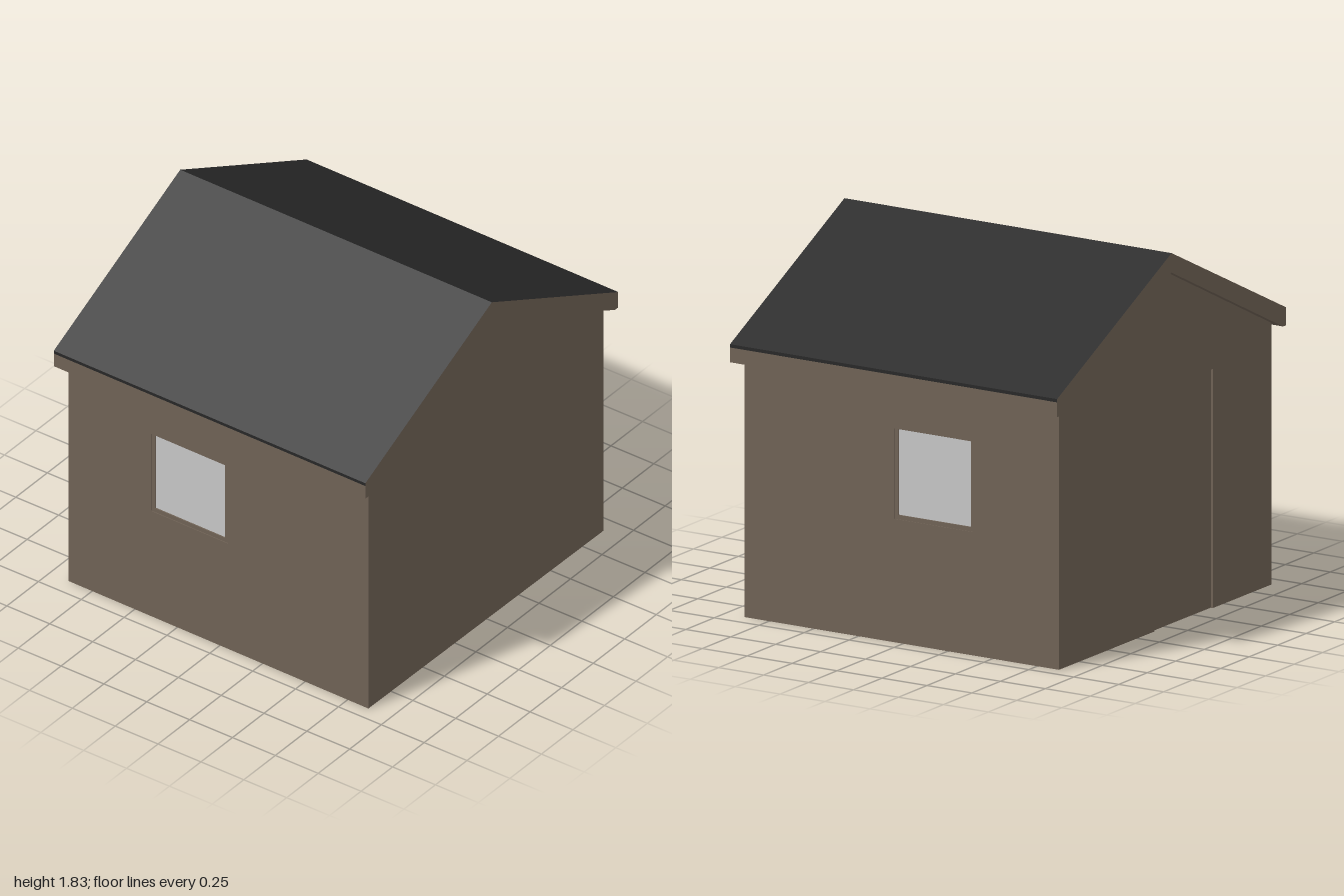
import * as THREE from 'three';

const brown = new THREE.MeshStandardMaterial({ color: 0x6f6255, name: 'brown timber' });
const black = new THREE.MeshStandardMaterial({ color: 0x272727, name: 'black roofing' });
const grey = new THREE.MeshStandardMaterial({ color: 0xc6c6c6, name: 'grey glass' });

const HW = 0.88, HD = 0.92;      // half width and half depth of the walls
const ROOF_HW = 0.915, T = 0.015; // roof half length, wall thickness
const EAVE = 1.272, PEAK = 1.73;

function shapeOf(points) {
  return new THREE.Shape(points.map(([x, y]) => new THREE.Vector2(x, y)));
}

function extrude(name, shape, depth, material) {
  const geometry = new THREE.ExtrudeGeometry(shape, { depth, bevelEnabled: false });
  const mesh = new THREE.Mesh(geometry, material);
  mesh.name = name;
  return mesh;
}

// Extrudes a profile drawn in (-z, y) along x, starting at startX
function extrudeAlongX(name, points, startX, depth, material) {
  const mesh = extrude(name, shapeOf(points), depth, material);
  mesh.rotation.y = Math.PI / 2;
  mesh.position.x = startX;
  return mesh;
}

function box(name, x0, x1, y0, y1, z0, z1, material) {
  const mesh = new THREE.Mesh(new THREE.BoxGeometry(x1 - x0, y1 - y0, z1 - z0), material);
  mesh.position.set((x0 + x1) / 2, (y0 + y1) / 2, (z0 + z1) / 2);
  mesh.name = name;
  return mesh;
}

// Long wall facing +z with a framed window between x0 and x1
function windowWall(name, x0, x1) {
  const group = new THREE.Group();
  group.name = name;
  const y0 = 0.6, y1 = 1.04, f = 0.021;
  const shape = shapeOf([[-HW, 0], [HW, 0], [HW, EAVE], [-HW, EAVE]]);
  shape.holes.push(new THREE.Path([[x0, y0], [x0, y1], [x1, y1], [x1, y0]]
    .map(([x, y]) => new THREE.Vector2(x, y))));
  const wall = extrude('wallPanel', shape, T, brown);
  wall.position.z = HD - T;
  group.add(wall);
  // Recessed frame sides, sill and pane
  const back = HD - 0.025, front = HD - 0.004;
  group.add(box('frameSide', x0, x0 + f, y0, y1, back, front, brown));
  group.add(box('frameSide', x1 - f, x1, y0, y1, back, front, brown));
  group.add(box('frameSill', x0 + f, x1 - f, y0, y0 + f, back, front, brown));
  group.add(box('windowPane', x0 + f, x1 - f, y0 + f, y1, HD - 0.019, HD - 0.011, grey));
  return group;
}

export function createModel() {
  const house = new THREE.Group();
  house.name = 'house';

  // Window walls
  house.add(windowWall('frontWall', -0.395, 0.055));
  const backWall = windowWall('backWall', -0.042, 0.405);
  backWall.rotation.y = Math.PI;
  house.add(backWall);

  // Gable walls, one with a doorway
  const top = [[HD, 0], [HD, EAVE], [0, PEAK], [-HD, EAVE], [-HD, 0]];
  const d0 = -0.412, d1 = 0.095, doorTop = 1.163;
  house.add(extrudeAlongX('plainGable', top, HW - T, T, brown));
  house.add(extrudeAlongX('doorGable',
    [...top, [d0, 0], [d0, doorTop], [d1, doorTop], [d1, 0]], -HW, T, brown));

  // Recessed door
  house.add(box('door', -HW + 0.012, -HW + 0.035, 0, doorTop, -d1, -d0, brown));

  // Roof body with eaves, and the thin covering above it
  const E = 0.99;
  house.add(extrudeAlongX('roofBody', [
    [E, 1.25], [E, 1.322], [0, 1.81], [-E, 1.322], [-E, 1.25],
    [-0.965, 1.25], [0, PEAK], [0.965, 1.25],
  ], -ROOF_HW, 2 * ROOF_HW, brown));
  house.add(extrudeAlongX('roofCovering', [
    [E, 1.322], [E, 1.338], [0, 1.825], [-E, 1.338], [-E, 1.322], [0, 1.81],
  ], -ROOF_HW, 2 * ROOF_HW, [brown, black]));

  // Slight turn of the whole building
  house.rotation.y = -0.009;
  const model = new THREE.Group();
  model.name = 'shed';
  model.add(house);
  return model;
}
